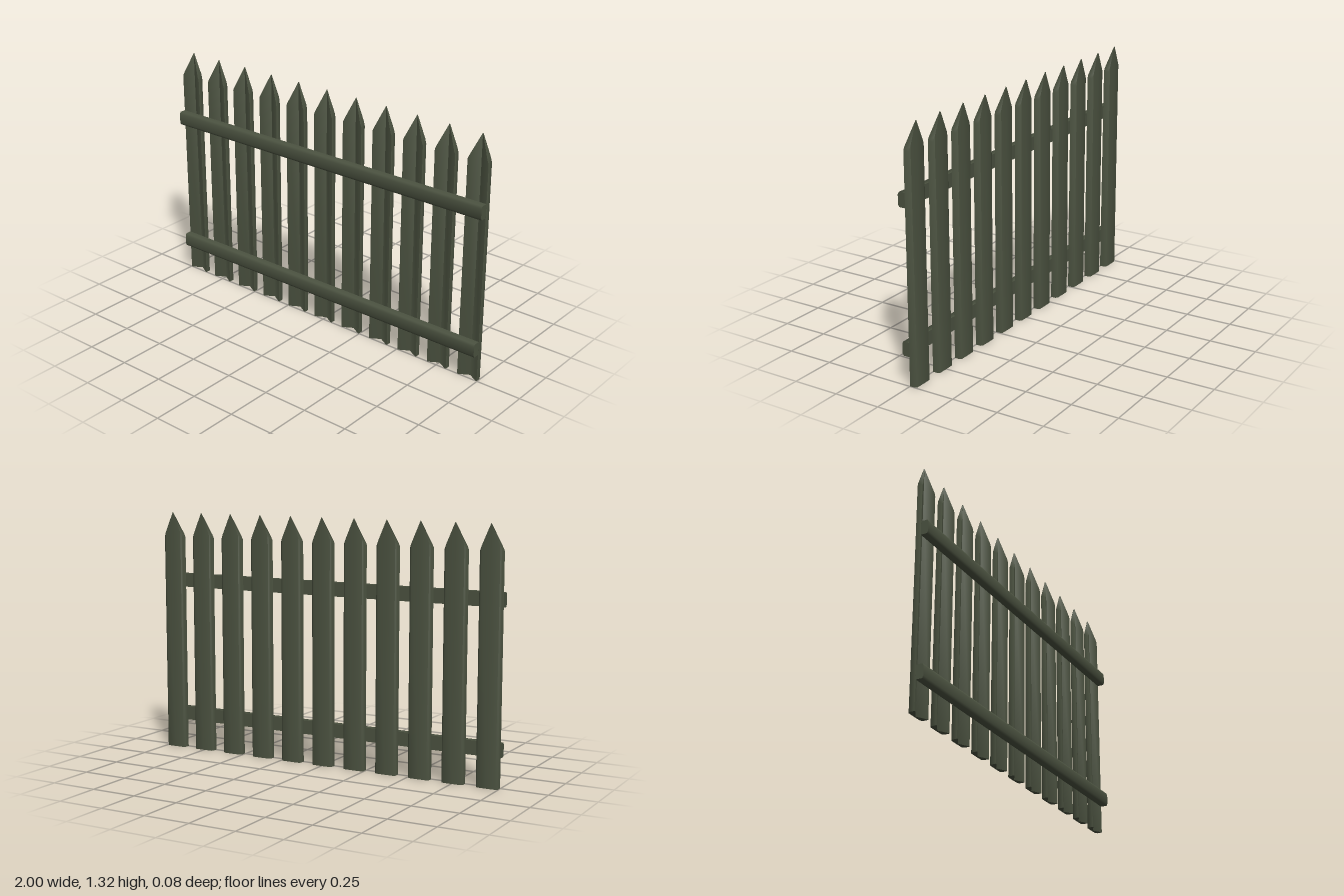
import * as THREE from 'three';
import { toCreasedNormals } from 'three/addons/utils/BufferGeometryUtils.js';

const wood = new THREE.MeshStandardMaterial({ color: 0x4b5240 });
wood.name = 'weathered green wood';

const CREASE = 1.2; // softens the groove and bevels, keeps square edges sharp

// Extrudes a closed outline of [a, b] points
function extrude(points, depth) {
  const shape = new THREE.Shape(points.map(([a, b]) => new THREE.Vector2(a, b)));
  return new THREE.ExtrudeGeometry(shape, { depth, bevelEnabled: false });
}

// Picket: hollow front, bevelled back, both ends of the outline cut to a point at the top
function picketGeometry() {
  const half = [[0, 0.03], [0.052, 0], [0.059, 0], [0.059, 0.028], [0.049, 0.037], [0, 0.038]];
  const mirrored = half.slice(1, -1).reverse().map(([x, d]) => [-x, d]);
  const geometry = extrude([...half, ...mirrored], 1);
  geometry.rotateX(-Math.PI / 2); // outline depth runs towards -z
  const p = geometry.attributes.position;
  for (let i = 0; i < p.count; i++) {
    if (p.getY(i) < 0.5) continue;
    p.setY(i, 1.315 - Math.abs(p.getX(i)) * 2.3);
    p.setZ(i, Math.max(p.getZ(i), -0.033)); // thinner towards the tip
  }
  return toCreasedNormals(geometry, CREASE);
}

// Rail: square front, bevelled edges against the pickets
function railGeometry() {
  const h = 0.037;
  const outline = [[-0.04, -h], [-0.006, -h], [0, -h + 0.012], [0, h - 0.012], [-0.006, h], [-0.04, h]];
  const geometry = extrude(outline, 1.995);
  geometry.translate(0, 0, -1);
  geometry.rotateY(Math.PI / 2);
  geometry.rotateY(Math.PI); // outline -a faces +z
  geometry.rotateX(0);
  geometry.computeBoundingBox();
  const { min, max } = geometry.boundingBox;
  geometry.translate(-(min.x + max.x) / 2, 0, -min.z);
  return toCreasedNormals(geometry, CREASE);
}

export function createModel() {
  const fence = new THREE.Group();
  fence.name = 'picketFence';

  const picket = picketGeometry();
  for (let i = 0; i < 11; i++) {
    const mesh = new THREE.Mesh(picket, wood);
    mesh.name = `picket${i + 1}`;
    mesh.position.x = (i - 5) * 0.1878;
    fence.add(mesh);
  }

  const rail = railGeometry();
  for (const [name, y] of [['lowerRail', 0.19], ['upperRail', 0.94]]) {
    const mesh = new THREE.Mesh(rail, wood);
    mesh.name = name;
    mesh.position.y = y;
    fence.add(mesh);
  }
  return fence;
}
